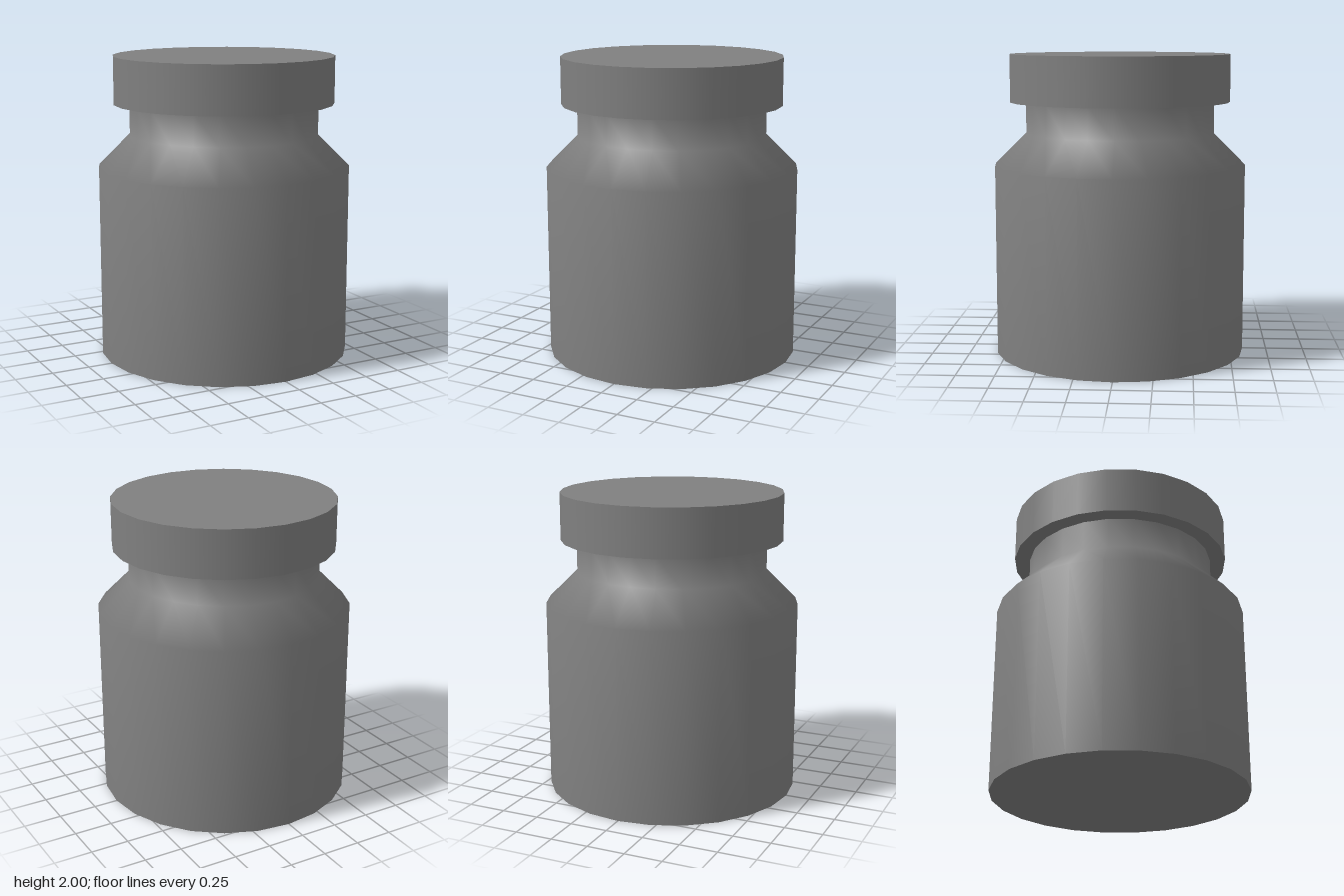
import * as THREE from 'three';

const SIDES = 24;

export function createModel() {
  const jar = new THREE.Group();
  jar.name = 'jar';
  const grey = new THREE.MeshStandardMaterial({ color: 0x808080 });
  grey.name = 'grey';

  const add = (name, geometry, y = 0) => {
    const mesh = new THREE.Mesh(geometry, grey);
    mesh.name = name;
    mesh.position.y = y;
    jar.add(mesh);
    return mesh;
  };

  // Smooth wall: straight body, sloping shoulder and neck
  const profile = [[0.84, 0], [0.84, 1.265], [0.63, 1.475], [0.63, 1.69]]
    .map(([r, y]) => new THREE.Vector2(r, y));
  add('body', new THREE.LatheGeometry(profile, SIDES));

  // Flat base, facing down
  add('base', new THREE.CircleGeometry(0.84, SIDES).rotateX(Math.PI / 2));

  // Overhanging lid
  add('lid', new THREE.CylinderGeometry(0.735, 0.735, 0.315, SIDES), 1.8425);

  return jar;
}
